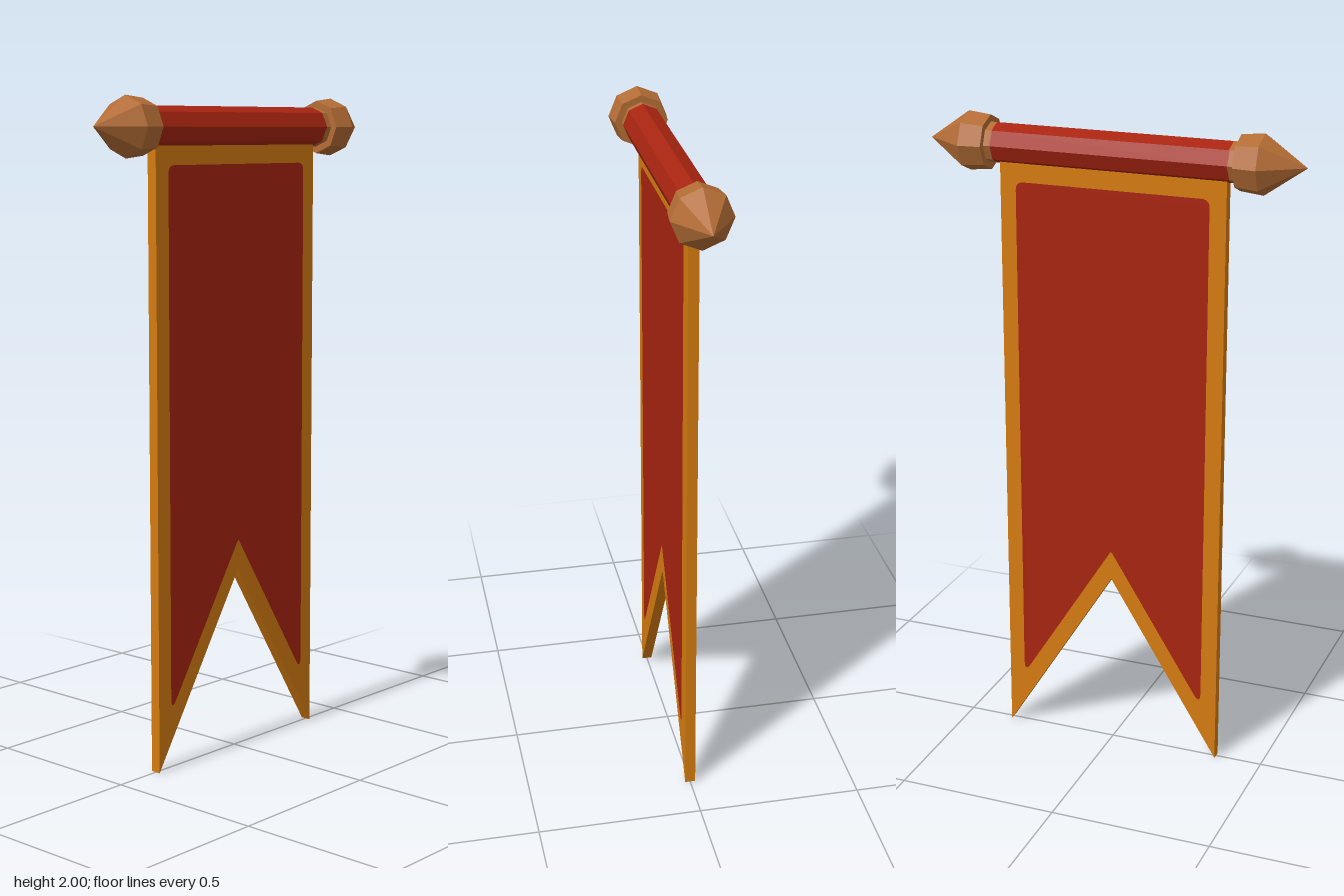
import * as THREE from 'three';

const POLE_Y = 1.912;

function material(name, color, extra = {}) {
  const m = new THREE.MeshStandardMaterial({ color, ...extra });
  m.name = name;
  return m;
}

// Closed outline whose corners are rounded by their third value (0 = sharp)
function roundedOutline(corners) {
  const shape = new THREE.Shape();
  const pts = corners.map(([x, y]) => new THREE.Vector2(x, y));
  const n = pts.length;
  pts.forEach((p, i) => {
    const r = corners[i][2];
    const a = p.clone().add(pts[(i + n - 1) % n].clone().sub(p).setLength(r));
    const b = p.clone().add(pts[(i + 1) % n].clone().sub(p).setLength(r));
    if (i === 0) shape.moveTo(a.x, a.y);
    else shape.lineTo(a.x, a.y);
    if (r > 0) shape.quadraticCurveTo(p.x, p.y, b.x, b.y);
  });
  shape.closePath();
  return shape;
}

export function createModel() {
  const red = material('red cloth', 0xa82410, { flatShading: true });
  const gold = material('gold trim', 0xd57b10, { flatShading: true });
  const wood = material('wood', 0xb36c35, { flatShading: true });

  const group = new THREE.Group();
  group.name = 'hangingBanner';
  const add = (name, geometry, mat, parent = group) => {
    const mesh = new THREE.Mesh(geometry, mat);
    mesh.name = name;
    parent.add(mesh);
    return mesh;
  };

  // Octagonal crossbar
  const bar = new THREE.CylinderGeometry(0.06, 0.06, 0.732, 8);
  bar.rotateZ(-Math.PI / 2);
  add('crossbar', bar, red).position.y = POLE_Y;

  // Pointed finials with a narrow collar, mirrored at both ends
  const profile = [[0, 0.364], [0.06, 0.364], [0.06, 0.386], [0.081, 0.386], [0.0885, 0.456], [0, 0.582]]
    .map(([r, x]) => new THREE.Vector2(r, x));
  const finial = new THREE.LatheGeometry(profile, 8);
  finial.rotateZ(-Math.PI / 2);
  for (const [name, turn] of [['leftFinial', 0], ['rightFinial', Math.PI]]) {
    const mesh = add(name, finial, wood);
    mesh.position.y = POLE_Y;
    mesh.rotation.y = turn;
  }

  // Swallow-tailed cloth forming the gold border
  const cloth = roundedOutline([
    [-0.352, 0, 0], [0, 0.565, 0], [0.352, 0, 0], [0.352, 1.89, 0], [-0.352, 1.89, 0],
  ]);
  const clothGeometry = new THREE.ExtrudeGeometry(cloth, { depth: 0.032, bevelEnabled: false });
  clothGeometry.translate(0, 0, -0.016);
  add('bannerBorder', clothGeometry, gold);

  // Red field on both faces
  const field = roundedOutline([
    [-0.302, 0.178, 0.045], [0, 0.66, 0.008], [0.302, 0.178, 0.045],
    [0.302, 1.803, 0.025], [-0.302, 1.803, 0.025],
  ]);
  const fieldGeometry = new THREE.ShapeGeometry(field, 6);
  fieldGeometry.translate(0, 0, 0.018);
  add('frontField', fieldGeometry, red);
  add('backField', fieldGeometry, red).rotation.y = Math.PI;

  return group;
}
